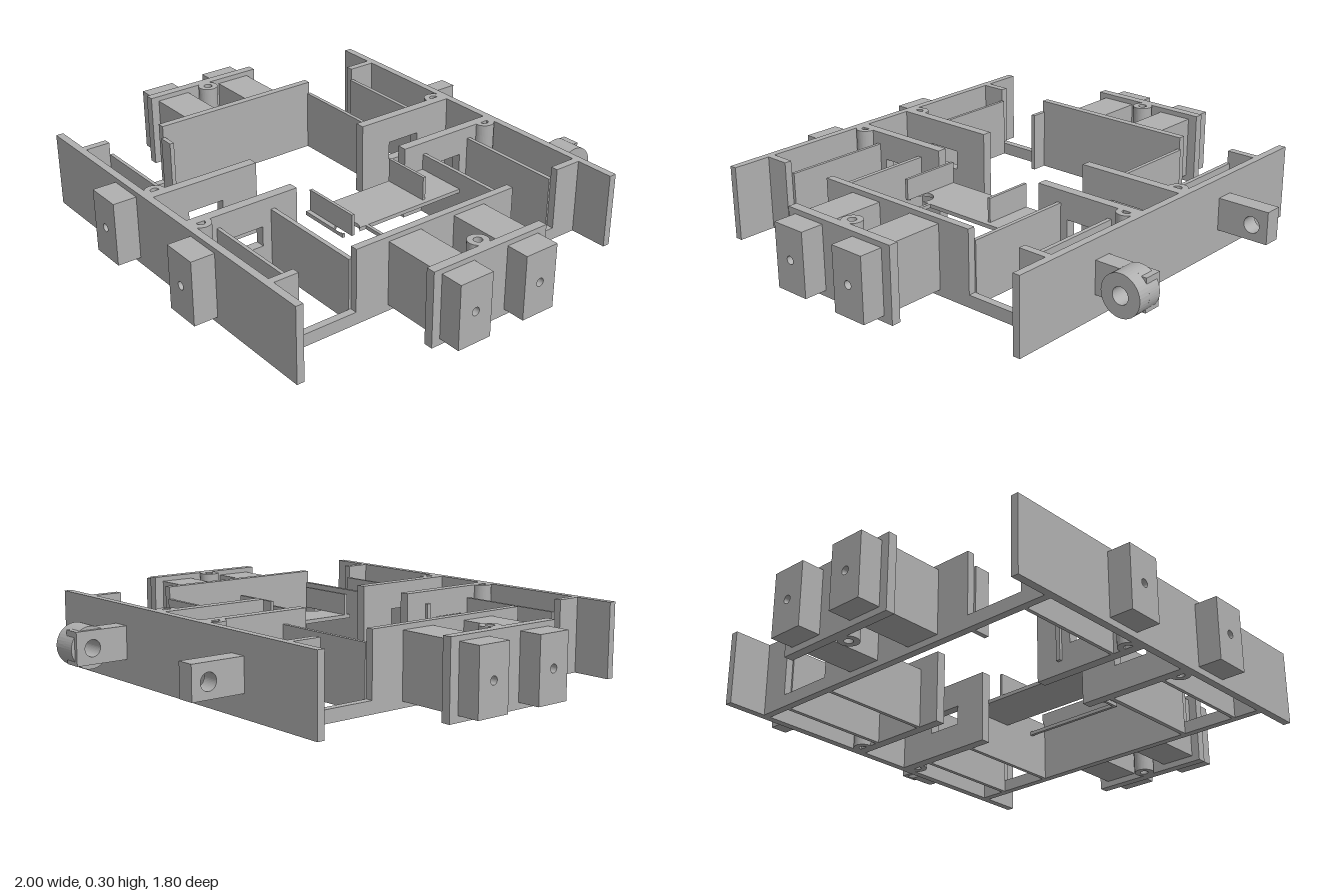
import * as THREE from 'three';

const grey = new THREE.MeshStandardMaterial({ color: 0xb0b0b0 });
grey.name = 'plain grey';
const H = 0.3;

export function createModel() {
  const model = new THREE.Group();
  model.name = 'chassisFrame';

  const add = (name, geo) => {
    const mesh = new THREE.Mesh(geo, grey);
    mesh.name = name;
    model.add(mesh);
    return mesh;
  };
  const box = (name, x0, x1, y0, y1, z0, z1) =>
    add(name, new THREE.BoxGeometry(x1 - x0, y1 - y0, z1 - z0)
      .translate((x0 + x1) / 2, (y0 + y1) / 2, (z0 + z1) / 2));

  // Shape helpers
  const poly = pts => new THREE.Shape(pts.map(p => new THREE.Vector2(...p)));
  const rect = (a0, a1, b0, b1) => poly([[a0, b0], [a1, b0], [a1, b1], [a0, b1]]);
  const circle = (a, b, r) => new THREE.Shape().absarc(a, b, r, 0, Math.PI * 2, false);
  const pierced = (shape, ...holes) => { shape.holes.push(...holes); return shape; };
  const extrude = (shape, depth) =>
    new THREE.ExtrudeGeometry(shape, { depth, bevelEnabled: false, curveSegments: 20 });
  // Shape drawn in (z, y), extruded from x0 to x1
  const alongX = (name, shape, x0, x1) =>
    add(name, extrude(shape, x1 - x0).rotateY(-Math.PI / 2).translate(x1, 0, 0));
  // Shape drawn in (x, z), extruded from y0 to y1
  const alongY = (name, shape, y0, y1) =>
    add(name, extrude(shape, y1 - y0).rotateX(Math.PI / 2).translate(0, y1, 0));
  // Shape drawn in (x, y), extruded from z0 to z1
  const alongZ = (name, shape, z0, z1) =>
    add(name, extrude(shape, z1 - z0).translate(0, 0, z0));

  // Front and back plates
  box('frontPlate', -0.795, 0.795, 0, H, 0.775, 0.805);
  box('backPlate', -0.795, 0.795, 0, H, -0.675, -0.645);

  for (const s of [-1, 1]) {
    const span = (a, b) => (s > 0 ? [a, b] : [-b, -a]);

    // Side wall with two notches open at the top
    alongX('sideWall', poly([
      [-0.645, 0], [0.775, 0], [0.775, H], [0.675, H], [0.675, 0.05], [0.433, 0.05],
      [0.433, H], [-0.298, H], [-0.298, 0.05], [-0.53, 0.05], [-0.53, H], [-0.645, H],
    ]), ...span(0.605, 0.635));

    // Inner walls with windows
    alongX('backInnerWall', pierced(rect(-0.645, -0.195, 0, H), rect(-0.485, -0.335, 0.11, 0.19)),
      ...span(0.11, 0.15));
    alongX('frontInnerWall', pierced(rect(0.325, 0.775, 0, H), rect(0.48, 0.63, 0.11, 0.19)),
      ...span(0.11, 0.15));

    // Screw bosses
    for (const [x, z] of [[0.153, -0.61], [0.153, 0.743], [0.838, 0.065]]) {
      alongY('screwBoss', pierced(circle(s * x, z, 0.04), circle(s * x, z, 0.017)), 0, H);
    }

    // Cross walls of the pockets
    for (const [z0, z1] of [[-0.54, -0.523], [-0.304, -0.288], [0.424, 0.442], [0.662, 0.676]]) {
      if (s < 0 && z0 === 0.424) {
        box('crossWallStub', -0.605, -0.54, 0, 0.25, z0, z1);
        box('crossWallStub', -0.162, -0.15, 0.05, 0.25, z0, z1);
      } else {
        const [a, b] = span(0.15, 0.605);
        box('crossWall', a, b, 0, 0.25, z0, z1);
      }
    }

    // Side mount: two drilled posts through an outer flange
    for (const [z0, z1] of [[-0.155, -0.01], [0.145, 0.29]]) {
      alongX('sidePost', pierced(rect(z0, z1, 0.025, 0.28), circle((z0 + z1) / 2, 0.152, 0.016)),
        ...span(0.635, 1));
    }
    const [f0, f1] = span(0.87, 0.907);
    for (const [z0, z1] of [[-0.195, -0.155], [-0.01, 0.145], [0.29, 0.325]]) {
      box('sideFlange', f0, f1, 0, H, z0, z1);
    }
    for (const [z0, z1] of [[-0.155, -0.01], [0.145, 0.29]]) {
      box('flangeLowerStrip', f0, f1, 0, 0.025, z0, z1);
      box('flangeUpperStrip', f0, f1, 0.28, H, z0, z1);
    }

    // Drilled block on the front plate
    const [b0, b1] = span(0.183, 0.333);
    alongZ('frontBlock', pierced(rect(b0, b1, 0.025, 0.28), circle(s * 0.258, 0.152, 0.016)),
      0.805, 0.9);

    // Drilled lug on the back plate
    alongX('backLug', pierced(rect(-0.89, -0.675, 0.09, 0.22), circle(-0.822, 0.152, 0.033)),
      ...span(0.335, 0.408));
  }

  // Ring on the left lug, with a trimmed collar around the lug's end
  alongX('lugRing', pierced(circle(-0.822, 0.152, 0.082), circle(-0.822, 0.152, 0.033)), 0.408, 0.46);
  const cut = Math.acos(0.052 / 0.082);
  alongX('lugCollar', pierced(
    new THREE.Shape().absarc(-0.822, 0.152, 0.082, cut, Math.PI * 2 - cut, false),
    circle(-0.822, 0.152, 0.033)), 0.35, 0.408);

  // Shelf with a round bite out of its edge
  const bite = Math.acos(0.03 / 0.045);
  const shelf = new THREE.Shape();
  shelf.moveTo(0.145, -0.29);
  shelf.lineTo(0.365, -0.29);
  shelf.absarc(0.335, 0.235, 0.045, -bite, bite, true);
  shelf.lineTo(0.365, 0.28);
  shelf.lineTo(0.145, 0.28);
  shelf.closePath();
  alongY('shelf', shelf, 0.17, 0.185);
  box('shelfBackDivider', 0.145, 0.345, 0.185, 0.28, -0.131, -0.119);
  box('shelfFrontDivider', 0.145, 0.395, 0.185, 0.27, 0.25, 0.262);

  // Thin rail frame beside the shelf
  box('shelfSideRail', 0.51, 0.523, 0.17, 0.185, -0.29, 0.173);
  box('shelfFrontRail', 0.365, 0.51, 0.17, 0.185, 0.16, 0.173);

  return model;
}
